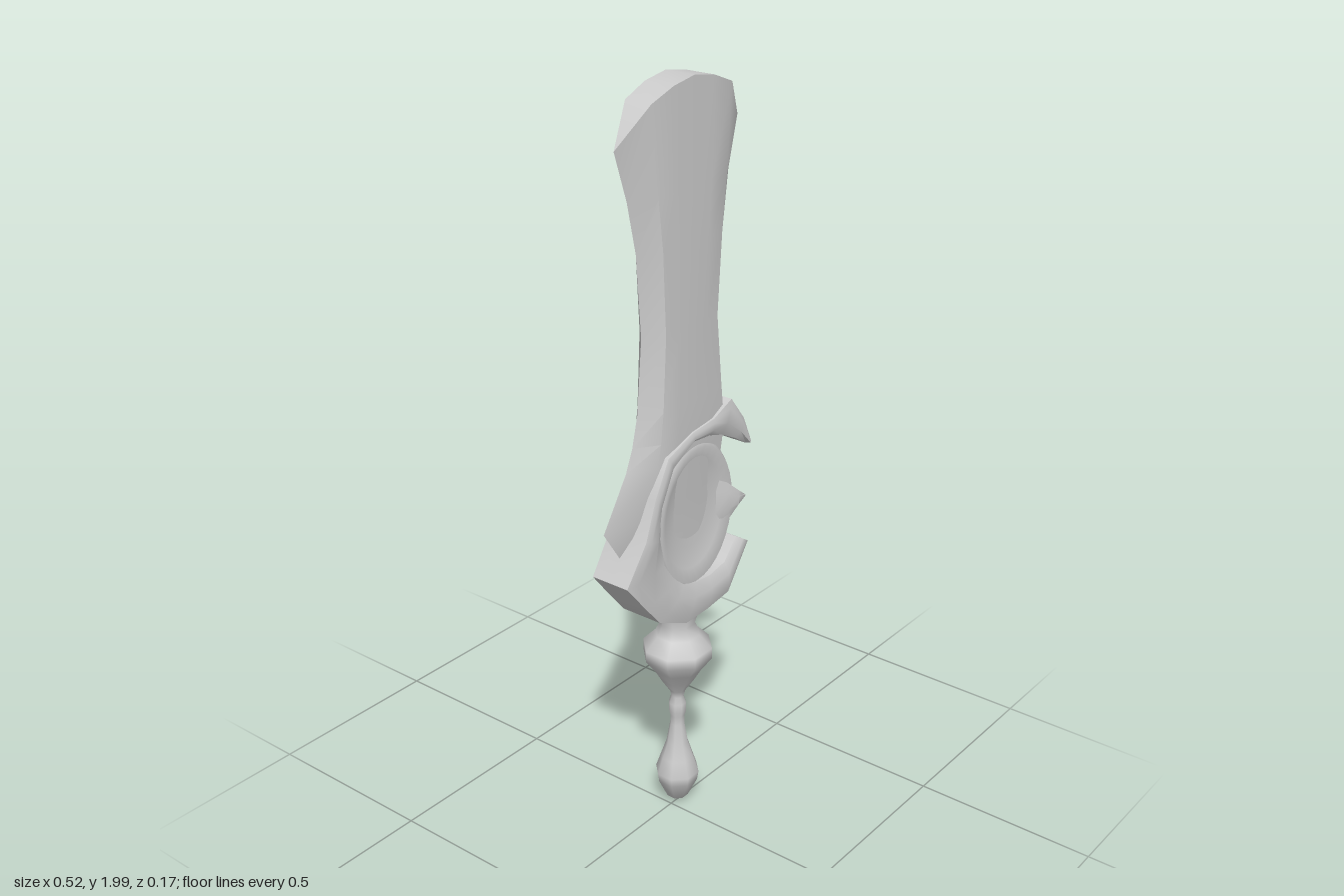
import * as THREE from 'three';
import { toCreasedNormals } from 'three/addons/utils/BufferGeometryUtils.js';

const material = new THREE.MeshStandardMaterial({ color: 0xcccccc });

function addMesh(group, name, geometry) {
  const mesh = new THREE.Mesh(geometry, material);
  mesh.name = name;
  group.add(mesh);
  return mesh;
}

// Front half of a ring (z >= 0, both ends on z = 0) closed with its mirrored back half
function mirrorRing(half) {
  const back = half.slice(1, -1).reverse().map(([x, y, z]) => [x, y, -z]);
  return [...half, ...back];
}

// Skin over mirrored rings, capped at both ends, always facing outward
function loft(rings, crease) {
  const n = rings[0].length;
  const p = rings.flat().map((v) => new THREE.Vector3(...v));
  const tris = [];
  const quad = (a, b, c, d) => tris.push([a, b, c], [a, c, d]);
  for (let r = 0; r < rings.length - 1; r++) {
    for (let i = 0; i < n; i++) {
      const j = (i + 1) % n;
      quad(r * n + i, r * n + j, r * n + n + j, r * n + n + i);
    }
  }
  const last = (rings.length - 1) * n;
  for (let i = 0; i < n / 2; i++) {
    const a = i, b = i + 1, c = (n - i - 1) % n, d = (n - i) % n;
    quad(d, c, b, a);
    quad(last + a, last + b, last + c, last + d);
  }
  let volume = 0;
  for (const [a, b, c] of tris) volume += p[a].dot(p[b].clone().cross(p[c]));
  if (volume < 0) tris.forEach((t) => t.reverse());
  const geometry = new THREE.BufferGeometry();
  geometry.setAttribute('position', new THREE.Float32BufferAttribute(p.flatMap((v) => v.toArray()), 3));
  geometry.setIndex(tris.flat());
  return toCreasedNormals(geometry, crease);
}

// Band between an inner and an outer line in the xy plane, with half thickness t
function band(stations, crease) {
  const profile = [[0, 0], [0, 0.78], [0.35, 1], [0.75, 1], [1, 0.92], [1, 0]];
  return loft(stations.map(([ix, iy, ox, oy, t]) => mirrorRing(
    profile.map(([f, z]) => [ix + (ox - ix) * f, iy + (oy - iy) * f, z * t]))), crease);
}

export function createModel() {
  const group = new THREE.Group();

  // Blade: y, left edge, left bevel, right bevel, right edge, half thickness
  const bladeStations = [
    [0.72, -0.08, -0.05, 0.12, 0.14, 0.025],
    [0.85, -0.2, -0.12, 0.14, 0.17, 0.03],
    [0.94, -0.26, -0.14, 0.15, 0.18, 0.032],
    [1.07, -0.175, -0.1, 0.16, 0.19, 0.043],
    [1.13, -0.15, -0.09, 0.16, 0.205, 0.045],
    [1.21, -0.13, -0.08, 0.15, 0.2, 0.045],
    [1.4, -0.113, -0.07, 0.13, 0.175, 0.045],
    [1.61, -0.13, -0.08, 0.145, 0.195, 0.045],
    [1.74, -0.16, -0.095, 0.16, 0.22, 0.044],
    [2.0, -0.203, -0.117, 0.18, 0.253, 0.042],
  ];
  const tipDrop = [0.135, 0.04, 0.012, 0, 0.012, 0.04, 0.135];
  addMesh(group, 'blade', loft(bladeStations.map(([y, l, bl, br, r, t]) => {
    const mid = (bl + br) / 2;
    const xs = [l, bl, (bl + mid) / 2, mid, (br + mid) / 2, br, r];
    const zs = [0, 0.9, 1, 1, 1, 0.9, 0];
    return mirrorRing(xs.map((x, i) => [x, y - (y === 2 ? tipDrop[i] : 0), zs[i] * t]));
  }), 0.55));

  // Crescent guard from the upper claw, around the left, to the lower claw
  addMesh(group, 'guard', band([
    [0.25, 1.018, 0.256, 1.03, 0.06],
    [0.2, 1.05, 0.225, 1.1, 0.062],
    [0.15, 1.075, 0.18, 1.165, 0.055],
    [0.1, 1.09, 0.11, 1.135, 0.055],
    [0.03, 1.095, 0.025, 1.125, 0.054],
    [-0.05, 1.05, -0.075, 1.09, 0.056],
    [-0.1, 0.96, -0.13, 1.0, 0.06],
    [-0.105, 0.88, -0.17, 0.9, 0.063],
    [-0.085, 0.8, -0.24, 0.8, 0.06],
    [-0.04, 0.74, -0.175, 0.72, 0.063],
    [-0.01, 0.715, -0.12, 0.655, 0.065],
    [0.04, 0.7, -0.01, 0.605, 0.064],
    [0.1, 0.695, 0.08, 0.607, 0.063],
    [0.16, 0.71, 0.165, 0.622, 0.066],
    [0.213, 0.762, 0.256, 0.735, 0.06],
  ], 0.8));

  // Dished oval disc inside the guard, hollow on both faces
  const dish = [[0, -0.026], [0.45, -0.03], [0.75, -0.038], [0.93, -0.05], [1, -0.035],
    [1, 0.035], [0.93, 0.05], [0.75, 0.038], [0.45, 0.03], [0, 0.026]];
  const disc = new THREE.LatheGeometry(dish.map(([r, y]) => new THREE.Vector2(r, y)), 32);
  disc.rotateX(Math.PI / 2);
  const discMesh = addMesh(group, 'disc', disc);
  discMesh.scale.set(0.155, 0.2, 1);
  discMesh.position.set(0.045, 0.89, 0);

  // Wedge-shaped tooth in the opening of the guard
  addMesh(group, 'tooth', band([
    [0.14, 0.8, 0.14, 0.95, 0.035],
    [0.18, 0.815, 0.17, 0.935, 0.052],
    [0.2, 0.845, 0.21, 0.9, 0.062],
    [0.256, 0.862, 0.256, 0.868, 0.045],
  ], 0.8));

  // Turned handle with collar, neck beads and pommel
  const handle = [[0, 0.008], [0.03, 0.03], [0.056, 0.085], [0.06, 0.11], [0.045, 0.155],
    [0.03, 0.2], [0.02, 0.26], [0.02, 0.285], [0.024, 0.3], [0.024, 0.325], [0.017, 0.345],
    [0.022, 0.365], [0.045, 0.4], [0.065, 0.435], [0.094, 0.475], [0.094, 0.505],
    [0.06, 0.54], [0.045, 0.57], [0.055, 0.605], [0.06, 0.66]];
  const handleMesh = addMesh(group, 'handle', new THREE.LatheGeometry(
    handle.map(([r, y]) => new THREE.Vector2(r, y)), 8, Math.PI / 8));
  handleMesh.position.x = 0.027;

  return group;
}
